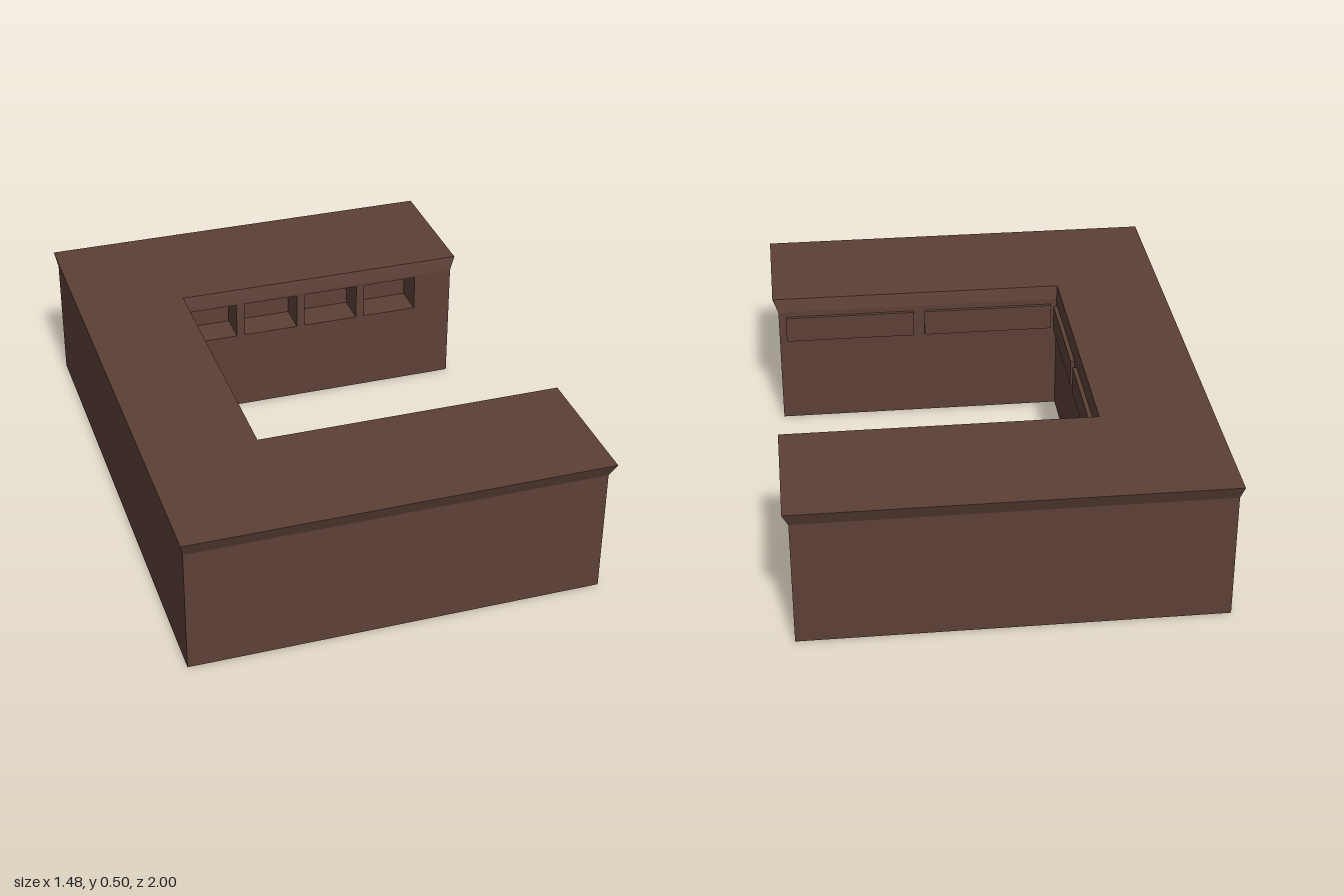
import * as THREE from 'three';

const LIP_Y = 0.455, TOP_Y = 0.505;
const NICHE = { y0: 0.31, y1: 0.445, depth: 0.12, z: -0.489 };
// left and right edges of the four open niches
const NICHES = [[-0.32, -0.145], [-0.113, 0.095], [0.126, 0.335], [0.365, 0.574]];

// U-shaped footprint (x, z), counter-clockwise seen from above, open to +x
const FOOT = [
  [-0.73, 0.978], [0.72, 0.978], [0.72, 0.489], [-0.345, 0.489],
  [-0.345, -0.489], [0.72, -0.489], [0.72, -0.978], [-0.73, -0.978],
];
const NICHE_EDGE = 4;
// The worktop is the footprint scaled up slightly
const TOP = FOOT.map(([x, z]) => [-0.217 + (x + 0.217) * 1.0214, z * 1.0225]);

// Flat wall quads between two matching outlines
function walls(lower, y0, upper, y1, skip = -1) {
  const p = [];
  lower.forEach(([x, z], i) => {
    if (i === skip) return;
    const j = (i + 1) % lower.length;
    const a = [x, y0, z], b = [lower[j][0], y0, lower[j][1]];
    const c = [upper[j][0], y1, upper[j][1]], d = [upper[i][0], y1, upper[i][1]];
    p.push(...a, ...b, ...c, ...a, ...c, ...d);
  });
  const g = new THREE.BufferGeometry();
  g.setAttribute('position', new THREE.Float32BufferAttribute(p, 3));
  g.computeVertexNormals();
  return g;
}

// Horizontal cap filling an outline
function cap(outline, y) {
  const shape = new THREE.Shape(outline.map(([x, z]) => new THREE.Vector2(x, -z)));
  return new THREE.ShapeGeometry(shape).rotateX(-Math.PI / 2).translate(0, y, 0);
}

function rectPoints(x0, x1, y0, y1) {
  return [[x0, y0], [x1, y0], [x1, y1], [x0, y1]].map(([x, y]) => new THREE.Vector2(x, y));
}

export function createModel() {
  const group = new THREE.Group();
  group.name = 'counter';
  const wood = new THREE.MeshStandardMaterial({ color: 0x5d4037 });
  const thin = new THREE.MeshStandardMaterial({ color: 0x5d4037, side: THREE.DoubleSide });
  const add = (name, geometry, material = wood) => {
    const mesh = new THREE.Mesh(geometry, material);
    mesh.name = name;
    group.add(mesh);
    return mesh;
  };

  // Counter body, flared lip, worktop and underside
  add('body', walls(FOOT, 0, FOOT, LIP_Y, NICHE_EDGE));
  add('lip', walls(FOOT, LIP_Y, TOP, TOP_Y));
  add('worktop', cap(TOP, TOP_Y));
  add('underside', cap(FOOT, 0), thin);

  // Inner wall of the back arm, pierced by niches
  const wall = new THREE.Shape(rectPoints(-0.345, 0.72, 0, LIP_Y));
  for (const [x0, x1] of NICHES) {
    wall.holes.push(new THREE.Path(rectPoints(x0, x1, NICHE.y0, NICHE.y1)));
  }
  add('nicheWall', new THREE.ShapeGeometry(wall).translate(0, 0, NICHE.z));

  // Niche interiors: boxes without their front face
  for (const [x0, x1] of NICHES) {
    const box = new THREE.BoxGeometry(x1 - x0, NICHE.y1 - NICHE.y0, NICHE.depth);
    const index = Array.from(box.index.array);
    index.splice(24, 6);
    box.setIndex(index);
    box.clearGroups();
    add('niche', box, thin).position.set(
      (x0 + x1) / 2, (NICHE.y0 + NICHE.y1) / 2, NICHE.z - NICHE.depth / 2);
  }

  // Drawer fronts on the middle section
  for (const z of [-0.245, 0.245]) {
    add('middleDrawer', new THREE.BoxGeometry(0.02, 0.098, 0.445)).position.set(-0.34, 0.385, z);
  }
  // Drawer fronts on the inside of the front arm
  for (const x of [-0.078, 0.45]) {
    add('frontDrawer', new THREE.BoxGeometry(0.487, 0.098, 0.02)).position.set(x, 0.385, 0.486);
  }
  return group;
}
